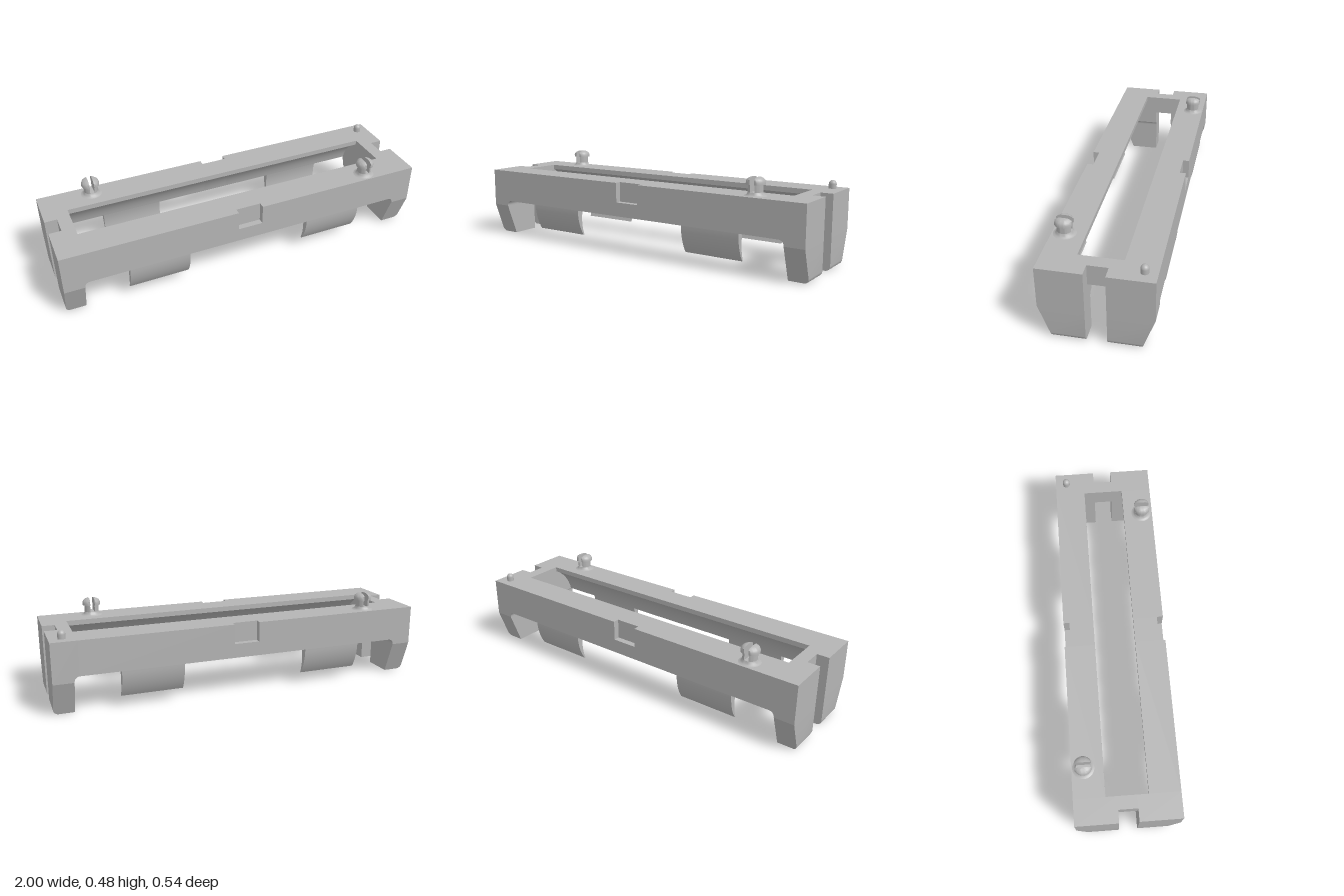
import * as THREE from 'three';
import { toCreasedNormals } from 'three/addons/utils/BufferGeometryUtils.js';

const TOP = 0.385, UNDER = 0.205, OUT = 0.27, LIP = 0.108, INX = 0.868, SLOT = 0.05;
const CY = 0.15, R = 0.235; // cylindrical cavity along x

const shapeOf = (pts) => new THREE.Shape(pts.map(([a, b]) => new THREE.Vector2(a, b)));

// points of a circular arc in the cross-section, between two angles
function arc(cy, r, a0, a1, n) {
  return Array.from({ length: n + 1 }, (_, i) => {
    const a = a0 + ((a1 - a0) * i) / n;
    return [r * Math.cos(a), cy + r * Math.sin(a)];
  });
}

// cross-section swept along x from x0 to x1
function alongX(pts, x0, x1) {
  const g = new THREE.ExtrudeGeometry(shapeOf(pts), { depth: x1 - x0, bevelEnabled: false });
  g.rotateY(Math.PI / 2).translate(x0, 0, 0);
  return toCreasedNormals(g, 0.5);
}

// front outline swept along z, from the slot out to a width that depends on y
function alongZ(pts, side, width) {
  const g = new THREE.ExtrudeGeometry(shapeOf(pts), { depth: 1, bevelEnabled: false });
  const p = g.attributes.position;
  for (let i = 0; i < p.count; i++) {
    const outer = (p.getZ(i) > 0.5) === (side > 0);
    p.setZ(i, side * (outer ? width(p.getY(i)) : SLOT));
  }
  return toCreasedNormals(g, 0.5);
}

// one half of a split pin: a lathe whose back is flattened to a chord at x = cut
function pinHalf(cut) {
  const profile = [[0.037, 0.39], [0.037, 0.44], [0.047, 0.44], [0.047, 0.452], [0.043, 0.463],
    [0.035, 0.47], [0.024, 0.475], [cut, 0.476]].map(([r, y]) => new THREE.Vector2(r, y));
  const g = new THREE.LatheGeometry(profile, 28);
  const p = g.attributes.position, uv = g.attributes.uv;
  for (let i = 0; i < p.count; i++) {
    const j = Math.round(uv.getX(i) * 28);
    const r = Math.max(profile[i % profile.length].x, cut);
    const sweep = Math.acos(cut / r);
    const chord = r * Math.sin(sweep);
    let x = cut, z;
    if (j <= 20) {
      const a = (j / 10 - 1) * sweep;
      x = r * Math.cos(a);
      z = -r * Math.sin(a);
    } else {
      z = chord * ((j - 20) / 4 - 1);
    }
    p.setX(i, x);
    p.setZ(i, THREE.MathUtils.clamp(z, -0.041, 0.041));
  }
  return toCreasedNormals(g, 0.6);
}

export function createModel() {
  const plastic = new THREE.MeshStandardMaterial({ color: 0xb4b4b4 });
  plastic.name = 'grey plastic';
  const model = new THREE.Group();
  model.name = 'holder';
  const add = (parent, name, geometry) => {
    const m = new THREE.Mesh(geometry, plastic);
    m.name = name;
    parent.add(m);
    return m;
  };

  // cavity side of the wall, from the top lip down to the underside
  const inner = arc(CY, R, Math.acos(LIP / R), Math.asin((UNDER - CY) / R), 12);
  const wall = [[OUT, UNDER], [OUT, TOP], [LIP, TOP], ...inner];
  const notched = [[OUT, UNDER], [OUT, 0.28], [0.237, 0.28], [0.237, TOP], [LIP, TOP], ...inner];

  // thin curved claw below the wall
  const clawBottom = 0.06;
  const claw = [
    ...arc(0.21, OUT, -0.0185, Math.asin((clawBottom - 0.21) / OUT), 10),
    ...arc(CY, R, Math.asin((clawBottom - CY) / R), Math.asin((UNDER - CY) / R), 10),
  ];

  // end block outline with a fillet, and leg outline with a rounded toe
  const block = [[INX, TOP], [INX, UNDER]];
  for (let i = 1; i <= 6; i++) {
    const a = (i / 6) * Math.PI / 2;
    block.push([INX + 0.027 * Math.sin(a), UNDER - 0.027 + 0.027 * Math.cos(a)]);
  }
  block.push([0.895, 0.175], [1, 0.175], [1, TOP]);
  const leg = [[0.895, 0.175], [0.895, 0]];
  for (let i = 0; i <= 6; i++) {
    const a = (i / 6) * Math.PI / 2;
    leg.push([0.975 + 0.025 * Math.sin(a), 0.025 - 0.025 * Math.cos(a)]);
  }
  leg.push([1, 0.175]);

  // the body repeats after half a turn
  for (const turn of [0, Math.PI]) {
    const half = new THREE.Group();
    half.name = turn ? 'turnedHalf' : 'half';
    half.rotation.y = turn;
    model.add(half);

    add(half, 'sideWall', alongX(wall, -INX, -0.068));
    add(half, 'notchedWall', alongX(notched, -0.068, 0.068));
    add(half, 'sideWall', alongX(wall, 0.068, INX));
    for (const x of [-0.663, 0.34]) add(half, 'claw', alongX(claw, x, x + 0.323));

    for (const side of [1, -1]) {
      add(half, 'endBlock', alongZ(block, side, () => OUT));
      add(half, 'leg', alongZ(leg, side, (y) => 0.208 + (0.062 * y) / 0.175));
    }
    const web = new THREE.BoxGeometry(0.935 - INX, TOP - 0.28, 2 * SLOT);
    add(half, 'endWeb', web).position.set((0.935 + INX) / 2, (TOP + 0.28) / 2, 0);

    // split snap pin on a flared foot
    const pin = new THREE.Group();
    pin.name = 'snapPin';
    pin.position.set(0.717, 0, 0.209);
    half.add(pin);
    const foot = [[0.056, TOP], [0.047, 0.388], [0.041, 0.394], [0.037, 0.404], [0, 0.404]];
    add(pin, 'pinFoot', toCreasedNormals(
      new THREE.LatheGeometry(foot.map(([r, y]) => new THREE.Vector2(r, y)), 28), 0.8));
    for (const a of [0, Math.PI]) add(pin, 'pinHalf', pinHalf(0.012)).rotation.y = a;
  }

  // round-topped locating nub at one corner
  const nub = [[0.0195, TOP], ...arc(0.408, 0.0195, 0, Math.PI / 2, 6)];
  add(model, 'nub', new THREE.LatheGeometry(nub.map(([r, y]) => new THREE.Vector2(r, y)), 20))
    .position.set(0.935, 0, -0.209);

  return model;
}
